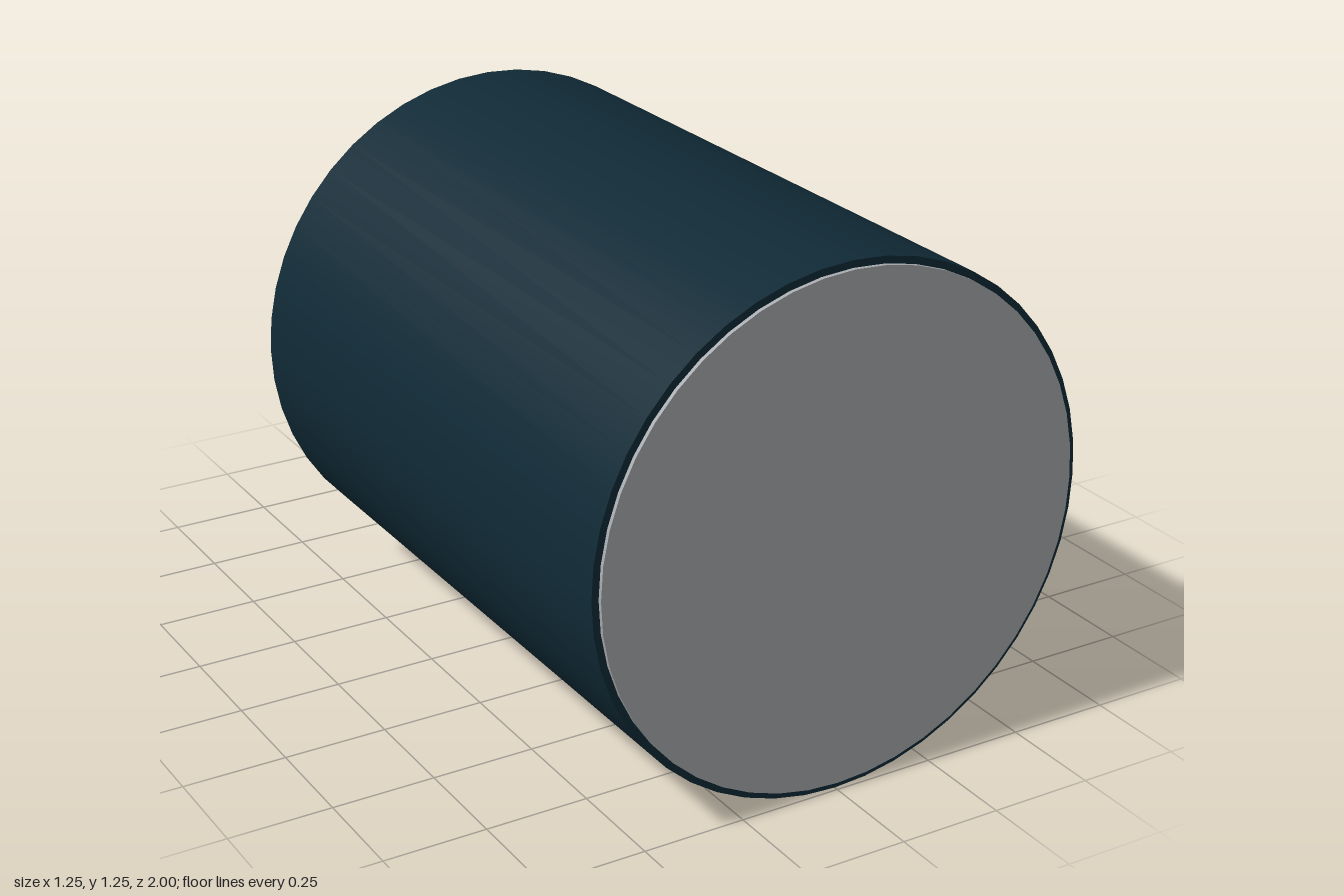
import * as THREE from 'three';

export function createModel() {
  const group = new THREE.Group();
  const sleeve = new THREE.MeshStandardMaterial({ color: 0x102a36 });
  sleeve.name = 'dark blue sleeve';
  const metal = new THREE.MeshStandardMaterial({ color: 0xa9acb0 });
  metal.name = 'grey metal';
  const axisY = 0.625;

  // Cylinder lying along z, from zBack to zFront
  function rod(name, radius, zBack, zFront, x, sides, material) {
    const geometry = new THREE.CylinderGeometry(radius, radius, zFront - zBack, sides);
    geometry.rotateX(Math.PI / 2);
    const mesh = new THREE.Mesh(geometry, material);
    mesh.name = name;
    mesh.position.set(x, axisY, (zBack + zFront) / 2);
    group.add(mesh);
  }

  // Sleeved can and the metal disc on its front end
  rod('body', 0.625, -0.6, 0.99, 0, 48, sleeve);
  rod('endDisc', 0.608, 0.98, 1, 0, 48, metal);

  // Two contact pins on the back
  rod('leftPin', 0.034, -1, -0.59, 0.295, 24, metal);
  rod('rightPin', 0.034, -1, -0.59, -0.3, 24, metal);

  return group;
}
